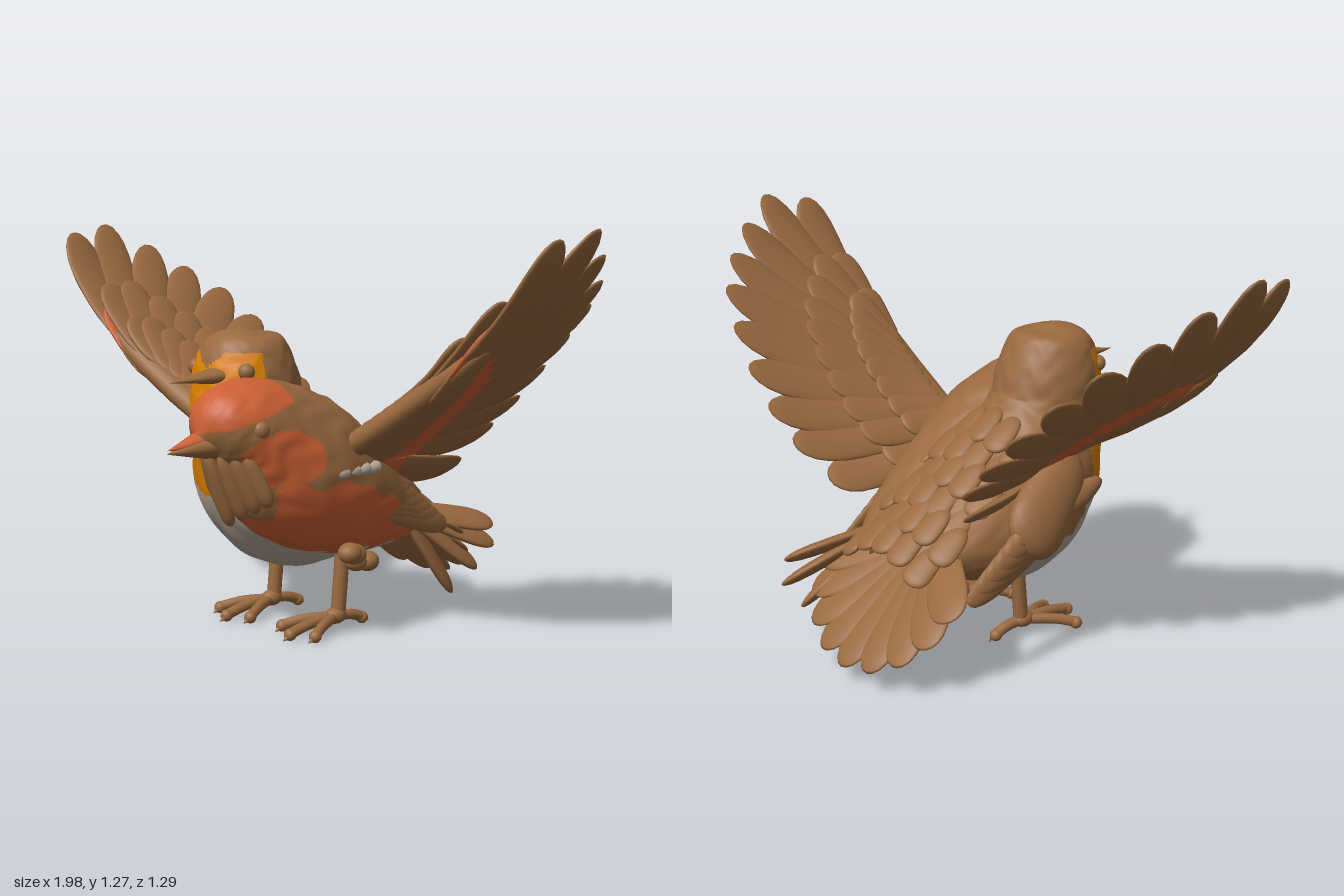
import * as THREE from 'three';
import { mergeVertices } from 'three/addons/utils/BufferGeometryUtils.js';

const mat = (name, color) => Object.assign(new THREE.MeshStandardMaterial({ color }), { name });
const V = (x, y, z) => new THREE.Vector3(x, y, z);

export function createModel() {
  const brown = mat('brown plumage', 0x99693f);
  const amber = mat('amber face', 0xdc8200);
  const rust = mat('rust breast', 0xcc6033);
  const cream = mat('cream belly', 0xb5a696);
  const paints = [brown, amber, rust, cream];
  const model = new THREE.Group();

  const add = (parent, name, geo, material) => {
    const mesh = new THREE.Mesh(geo, material);
    mesh.name = name;
    parent.add(mesh);
    return mesh;
  };

  // One blunt unit feather, the base of every feather
  let quill = new THREE.SphereGeometry(1, 20, 12);
  const qp = quill.attributes.position;
  for (let i = 0; i < qp.count; i++) {
    const x = Math.sign(qp.getX(i)) * Math.abs(qp.getX(i)) ** 0.6;
    qp.setXYZ(i, x, qp.getY(i) * (0.85 + 0.15 * x), qp.getZ(i));
  }
  quill.deleteAttribute('uv');
  quill.deleteAttribute('normal');
  quill = mergeVertices(quill, 1e-4);

  // Feather from root to tip; sag bows its middle away from the up side
  function feather(parent, name, root, tip, width, up, material = brown, thick = 0.014, sag = 0) {
    const X = tip.clone().sub(root);
    const len = X.length();
    X.normalize();
    const Y = up.clone().cross(X).normalize();
    const Z = X.clone().cross(Y);
    const geo = quill.clone();
    const p = geo.attributes.position;
    for (let i = 0; i < p.count; i++) {
      const x = p.getX(i);
      p.setXYZ(i, x * len / 2, p.getY(i) * width / 2, p.getZ(i) * thick - sag * (1 - x * x));
    }
    geo.computeVertexNormals();
    const mesh = add(parent, name, geo, material);
    mesh.quaternion.setFromRotationMatrix(new THREE.Matrix4().makeBasis(X, Y, Z));
    mesh.position.copy(root).add(tip).multiplyScalar(0.5);
  }

  // Body lofted through ellipses [y, z, halfWidth, halfDepth]; pick(dx, y, z) chooses a paint index
  function body(parent, name, cx, rows, pick) {
    const path = new THREE.CatmullRomCurve3(rows.map(r => V(0, r[0], r[1])), false, 'catmullrom', 0.5);
    const size = new THREE.CatmullRomCurve3(rows.map(r => V(r[2], r[3], 0)), false, 'catmullrom', 0.5);
    const n = 120, m = 84, pos = [], faces = paints.map(() => []);
    for (let i = 0; i <= n; i++) {
      const c = path.getPoint(i / n), s = size.getPoint(i / n);
      const N = path.getTangent(i / n).cross(V(1, 0, 0)).normalize();
      for (let j = 0; j < m; j++) {
        const a = j / m * Math.PI * 2;
        const ruffle = 1 + 0.008 * Math.sin(i * 0.52 + 2 * Math.sin(a * 9));
        const p = N.clone().multiplyScalar(Math.max(s.y, 0.001) * Math.sin(a) * ruffle).add(c);
        pos.push(cx + Math.max(s.x, 0.001) * Math.cos(a) * ruffle, p.y, p.z);
      }
    }
    const tri = (...t) => {
      const mid = k => t.reduce((sum, v) => sum + pos[v * 3 + k], 0) / 3;
      faces[pick(mid(0) - cx, mid(1), mid(2))].push(...t);
    };
    for (let i = 0; i < n; i++) for (let j = 0; j < m; j++) {
      const a = i * m + j, b = i * m + (j + 1) % m;
      tri(a, b, a + m);
      tri(b, b + m, a + m);
    }
    const geo = new THREE.BufferGeometry();
    geo.setAttribute('position', new THREE.Float32BufferAttribute(pos, 3));
    geo.setIndex(faces.flat());
    let start = 0;
    faces.forEach((f, k) => { geo.addGroup(start, f.length, k); start += f.length; });
    geo.computeVertexNormals();
    add(parent, name, geo, paints);
  }

  function ball(parent, name, x, y, z, r, sx = 1, sy = 1, sz = 1) {
    const mesh = add(parent, name, new THREE.SphereGeometry(r, 20, 14), brown);
    mesh.position.set(x, y, z);
    mesh.scale.set(sx, sy, sz);
  }
  function beak(parent, name, x, y, z, len, rx, ry, droop, material = brown) {
    const geo = new THREE.ConeGeometry(1, len, 20);
    geo.translate(0, len / 2, 0).scale(rx, 1, ry).rotateX(Math.PI / 2 + droop);
    add(parent, name, geo, material).position.set(x, y, z);
  }

  // Upright bird
  const upright = new THREE.Group();
  upright.name = 'uprightBird';
  model.add(upright);
  const ax = -0.1;
  body(upright, 'uprightBody', ax, [
    [0.33, -0.44, 0.04, 0.02], [0.37, -0.3, 0.18, 0.12], [0.4, -0.15, 0.235, 0.2], [0.43, 0, 0.25, 0.25],
    [0.52, 0.1, 0.235, 0.25], [0.63, 0.16, 0.2, 0.215], [0.72, 0.19, 0.17, 0.19], [0.8, 0.2, 0.165, 0.175],
    [0.88, 0.21, 0.148, 0.15], [0.94, 0.22, 0.11, 0.11], [0.97, 0.22, 0.0, 0.0]
  ], (dx, y, z) => {
    if (y > 0.46 + 0.012 * Math.sin(dx * 45)) {
      const faceTop = 0.9 - 0.05 * Math.max(0, 1 - Math.abs(dx) / 0.06);
      const faceBack = y > 0.72 ? 0.25 + 0.5 * Math.max(0, 0.78 - y) : 0.19;
      return y < faceTop && z > faceBack ? 1 : 0;
    }
    return y < 0.34 + 0.35 * z + 0.012 * Math.sin(z * 60) || z > 0.15 ? 3 : 0;
  });
  beak(upright, 'uprightBeak', ax + 0.03, 0.832, 0.33, 0.2, 0.05, 0.028, 0.05);
  for (const s of [-1, 1]) ball(upright, 'uprightEye', ax + s * 0.118, 0.845, 0.3, 0.026);

  // Leaning bird
  const leaning = new THREE.Group();
  leaning.name = 'leaningBird';
  model.add(leaning);
  const bx = 0.08;
  body(leaning, 'leaningBody', bx, [
    [0.33, -0.42, 0.03, 0.03], [0.36, -0.28, 0.13, 0.11], [0.42, -0.1, 0.185, 0.185], [0.49, 0.06, 0.21, 0.225],
    [0.565, 0.19, 0.205, 0.235], [0.635, 0.29, 0.175, 0.205], [0.68, 0.37, 0.155, 0.165], [0.695, 0.44, 0.13, 0.13],
    [0.69, 0.5, 0.09, 0.09], [0.675, 0.55, 0.0, 0.0]
  ], (dx, y, z) => {
    const wave = 0.012 * Math.sin(z * 50 + dx * 30);
    if (y > 0.72 + 0.3 * (0.45 - z) && z > 0.28) return 2;
    if (Math.hypot((z - 0.34) / 0.125, (y - 0.61) / 0.085) < 1 && Math.abs(dx) > 0.09) return 2;
    if (z > 0.34 && y > 0.42 && Math.abs(dx) < 0.13) return 0;
    if (y < 0.275 + wave && z < 0.2) return 3;
    return y < 0.52 + 0.42 * Math.min(0, z - 0.1) + wave && z > -0.27 ? 2 : 0;
  });
  beak(leaning, 'lowerBeak', bx - 0.01, 0.655, 0.48, 0.17, 0.065, 0.05, 0.08);
  beak(leaning, 'upperBeak', bx - 0.01, 0.672, 0.5, 0.15, 0.045, 0.035, 0.14, rust);
  for (const s of [-1, 1]) ball(leaning, 'leaningEye', bx + s * 0.118, 0.7, 0.41, 0.032);
  for (let i = -3; i <= 3; i++) {
    const back = Math.abs(i) * 0.015;
    feather(leaning, 'throatFeather', V(bx + i * 0.03, 0.63, 0.51 - back * 1.5),
      V(bx + i * 0.04, 0.4 + back * 1.5, 0.42 - back), 0.065, V(i * 0.1, 0.2, 1), brown, 0.022);
  }

  // Raised wings: flight feathers fan from the arm, with covert layers above and below
  const tips = [[0.97, 1.25, 0.05], [0.985, 1.275, -0.11], [0.91, 1.2, -0.25], [0.83, 1.12, -0.36], [0.73, 1.04, -0.45],
    [0.62, 0.94, -0.5], [0.51, 0.83, -0.525], [0.41, 0.72, -0.525], [0.32, 0.62, -0.5], [0.25, 0.5, -0.42]].map(t => V(...t));
  const up = V(-0.63, 0.77, 0);
  const shoulder = V(0.17, 0.59, 0.06), wrist = V(0.61, 0.85, 0.07);
  for (const side of [1, -1]) {
    const wing = new THREE.Group();
    wing.name = side > 0 ? 'leftRaisedWing' : 'rightRaisedWing';
    if (side < 0) {
      wing.position.z = 0.075;
      wing.rotation.y = 0.1;
    }
    model.add(wing);
    const flip = v => V(v.x * side, v.y, v.z);
    const put = (name, a, b, w, lift, material, thick, sag) => {
      const off = up.clone().multiplyScalar(lift);
      feather(wing, name, flip(a.clone().add(off)), flip(b.clone().add(off)), w, flip(up), material, thick, sag);
    };
    put('wingArm', V(0.1, 0.55, 0.06), V(0.76, 0.95, 0.075), 0.13, 0, brown, 0.042, 0.02);
    const layers = [['flightFeather', 1, 1, 0.17, 0, brown, 0.018, 0.04], ['upperCovert', 0.85, 0.6, 0.15, 0.008, brown, 0.018, 0.02],
      ['lesserCovert', 0.8, 0.35, 0.13, 0.022, brown, 0.018, 0.015], ['rustUnderCovert', 0.8, 0.53, 0.15, -0.03, rust, 0.016, 0.02],
      ['innerUnderCovert', 0.8, 0.33, 0.14, -0.042, brown, 0.016, 0.01]];
    for (const [name, span, reach, w, lift, material, thick, sag] of layers) {
      tips.forEach((tip, i) => {
        const root = shoulder.clone().lerp(wrist, span * (1 - i / 9));
        put(name, root, root.clone().lerp(tip, reach), w, lift + i * 0.001, material, thick, sag);
      });
    }
  }

  // Folded wings lying along the flanks
  const folded = (parent, name, x, side, flare) => {
    const g = new THREE.Group();
    g.name = name;
    parent.add(g);
    for (let i = 0; i < 6; i++) {
      feather(g, 'foldedFeather', V(x + side * (0.02 - i * 0.004), 0.53 - i * 0.018, 0.17 - i * 0.025),
        V(x + side * flare, 0.43 - i * 0.026, -0.24 - 0.035 * i), 0.1, V(side, 0.3, 0), brown, 0.03 - i * 0.002);
    }
    return g;
  };
  const leftFold = folded(leaning, 'leftFoldedWing', 0.255, 1, -0.05);
  folded(upright, 'rightFoldedWing', -0.345, -1, 0.05);
  feather(upright, 'rightFlankCovert', V(-0.31, 0.62, 0.1), V(-0.4, 0.4, -0.2), 0.24, V(-1, 0.3, 0), brown, 0.06);
  for (let i = 0; i < 4; i++) {
    feather(leftFold, 'shoulderTuft', V(0.272, 0.545, 0.185 - i * 0.045), V(0.275, 0.555, 0.12 - i * 0.045),
      0.045, V(1, 0.5, 0), cream, 0.02);
  }

  // Back plumage in overlapping rows
  for (let r = 0; r < 6; r++) for (let i = -2; i <= 2; i++) {
    const y = 0.735 - r * 0.055 - i * i * 0.014, z = -0.01 - r * 0.072, x = ax + i * 0.075 + (r % 2) * 0.03;
    feather(upright, 'backFeather', V(x, y, z), V(x, y - 0.08, z - 0.12), 0.1, V(i * 0.2, 0.8, -0.6), brown, 0.016);
  }

  // Fanned tail and narrow tail
  for (let i = -4; i <= 4; i++) {
    const a = i * 0.36, c = Math.cos(a), s = Math.sin(a);
    feather(upright, 'fanTailFeather', V(ax + s * 0.05, 0.38, -0.3), V(ax + 0.02 + 0.31 * s, 0.29 - 0.23 * c, -0.45 - 0.19 * c),
      0.15, V(0, 0.75, -0.6), brown, 0.017);
  }
  [[0.25, 0.285, -0.6], [0.24, 0.21, -0.62], [0.21, 0.13, -0.57], [0.17, 0.05, -0.49]].forEach(t =>
    feather(leaning, 'narrowTailFeather', V(0.12, 0.36, -0.28), V(...t), 0.12, V(0.6, 0.6, -0.3), brown, 0.02));

  // Standing legs with three front toes and one back toe
  for (const [x, side] of [[-0.2, -1], [0.1, 1]]) {
    const leg = new THREE.Group();
    leg.name = side > 0 ? 'leftLeg' : 'rightLeg';
    leg.position.set(x, 0, 0);
    upright.add(leg);
    const tube = (name, pts, r) => add(leg, name, new THREE.TubeGeometry(new THREE.CatmullRomCurve3(pts), 12, r, 10), brown);
    tube('shank', [V(0, 0.26, -0.03), V(0, 0.15, -0.02), V(0, 0.05, -0.01)], 0.024);
    ball(leg, 'ankle', 0, 0.05, 0, 0.03, 1, 0.9, 1.3);
    for (const [tx, tz] of [[-0.1, 0.14], [-0.01, 0.19], [0.06, 0.15], [0.01, -0.11]]) {
      tube('toe', [V(0, 0.048, 0), V(tx * 0.6, 0.042, tz * 0.6), V(tx, 0.026, tz)], 0.017);
      ball(leg, 'toeTip', tx, 0.024, tz, 0.02);
      beak(leg, 'claw', tx, 0.022, tz, 0.035 * Math.sign(tz), 0.014, 0.014, 0.4 * Math.sign(tz));
    }
  }

  // Tucked feet of the leaning bird
  for (const [x, y, z] of [[0.24, 0.29, 0.08], [0.23, 0.28, 0.05], [0.18, 0.24, -0.01], [0.19, 0.235, -0.05]])
    ball(leaning, 'tuckedToe', x, y, z, 0.036, 1, 0.9, 1.1);
  return model;
}
